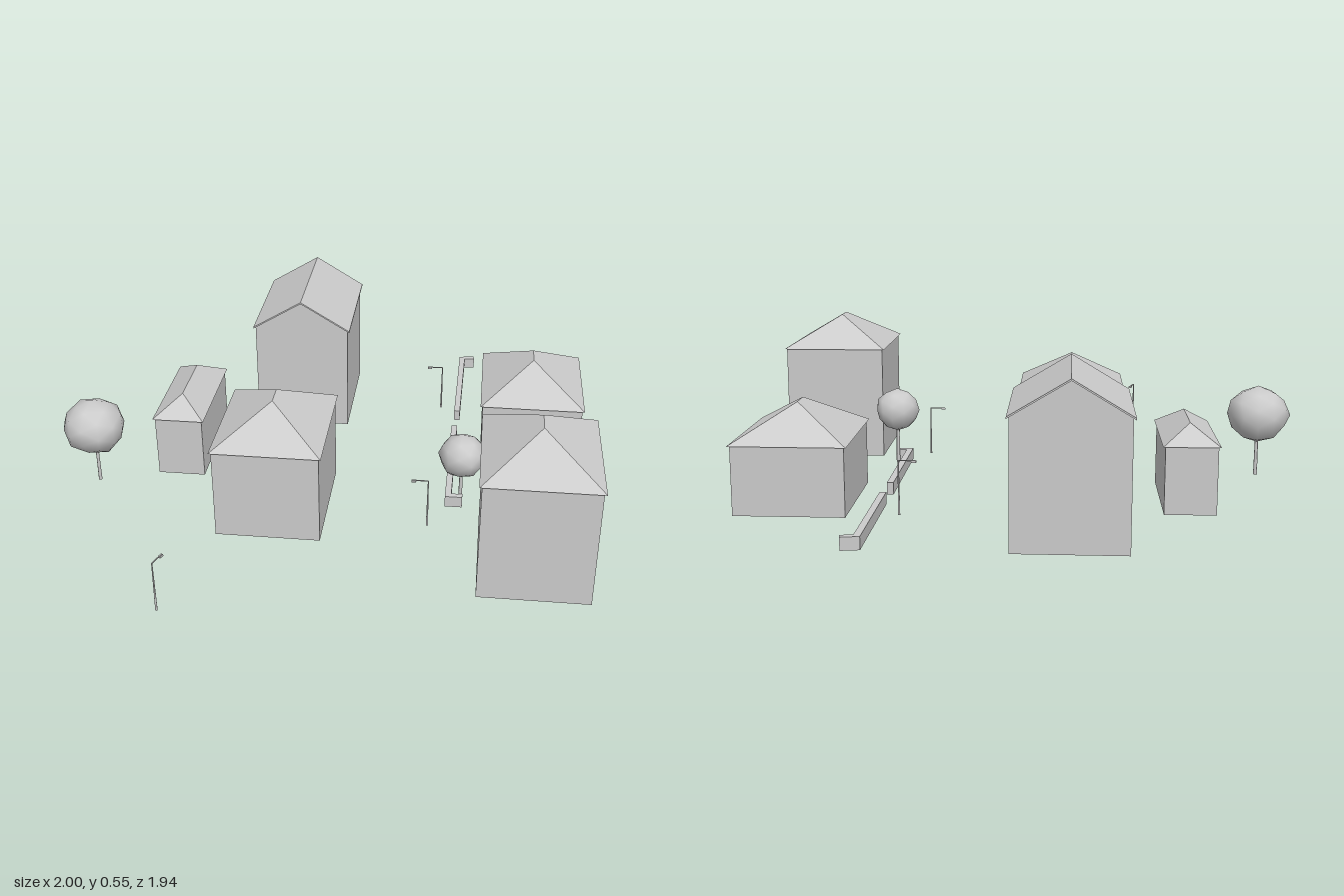
import * as THREE from 'three';
import { mergeVertices } from 'three/addons/utils/BufferGeometryUtils.js';

const TURN = -0.433; // the whole street is turned by this angle
const OVERHANG = 0.008;
const grey = new THREE.MeshStandardMaterial({ color: 0xcccccc });
const flat = new THREE.MeshStandardMaterial({ color: 0xcccccc, flatShading: true });

function part(name, geometry, material = flat) {
  const mesh = new THREE.Mesh(geometry, material);
  mesh.name = name;
  return mesh;
}

function box(name, w, h, d, x, y, z) {
  const mesh = part(name, new THREE.BoxGeometry(w, h, d));
  mesh.position.set(x, y, z);
  return mesh;
}

// Outline of [x, y] points extruded by depth along z
function extrude(points, depth) {
  const shape = new THREE.Shape(points.map(([x, y]) => new THREE.Vector2(x, y)));
  return new THREE.ExtrudeGeometry(shape, { depth, bevelEnabled: false });
}

// Closed hipped roof: four eave corners and the two ridge ends
function hipRoof(w, d, eave, top, ridge) {
  const points = [
    [-w / 2, eave, -d / 2], [w / 2, eave, -d / 2], [w / 2, eave, d / 2], [-w / 2, eave, d / 2],
    [0, top, -ridge / 2], [0, top, ridge / 2]];
  const faces = [[0, 1, 2, 3], [1, 0, 4], [2, 1, 4, 5], [3, 2, 5], [0, 3, 5, 4]];
  const positions = [];
  for (const f of faces) {
    for (let i = 1; i < f.length - 1; i++) {
      positions.push(...points[f[0]], ...points[f[i]], ...points[f[i + 1]]);
    }
  }
  const g = new THREE.BufferGeometry();
  g.setAttribute('position', new THREE.Float32BufferAttribute(positions, 3));
  g.computeVertexNormals();
  return g;
}

// Group for a house, turned along the street
function plot(name, x, z) {
  const house = new THREE.Group();
  house.name = name;
  house.position.set(x, 0, z);
  house.rotation.y = TURN;
  return house;
}

// House with a hipped roof; w and d are the eave sizes
function hipHouse(name, { x, z, w, d, base, eave, top, ridge }) {
  const house = plot(name, x, z);
  const h = eave - base;
  house.add(
    box('walls', w - 2 * OVERHANG, h, d - 2 * OVERHANG, 0, base + h / 2, 0),
    part('hipRoof', hipRoof(w, d, eave, top, ridge)));
  return house;
}

// House with a gabled roof: five-sided walls under a thin folded sheet
function gableHouse(name, { x, z, w, d, base, eave, top }) {
  const house = plot(name, x, z);
  const t = 0.006, a = w / 2, b = a - OVERHANG, dd = d - 2 * OVERHANG;
  const walls = extrude([[-b, base], [b, base], [b, eave], [0, top - t], [-b, eave]], dd);
  const roof = extrude([
    [-a, eave - t], [0, top - t], [a, eave - t], [a, eave], [0, top], [-a, eave]], d);
  house.add(
    part('walls', walls.translate(0, 0, -dd / 2)),
    part('gableRoof', roof.translate(0, 0, -d / 2)));
  return house;
}

// Faceted round crown on a slim trunk
function tree(name, x, z, base, crownY, r, ry) {
  const group = new THREE.Group();
  group.name = name;
  let ball = new THREE.IcosahedronGeometry(1, 1);
  ball.deleteAttribute('normal');
  ball.deleteAttribute('uv');
  ball = mergeVertices(ball, 1e-3);
  const p = ball.attributes.position;
  for (let i = 0; i < p.count; i++) { // slightly uneven crown
    const k = 1 + 0.04 * Math.sin(i * 2.4);
    p.setXYZ(i, p.getX(i) * r * k, p.getY(i) * ry * k, p.getZ(i) * r * k);
  }
  ball.computeVertexNormals();
  const crown = part('crown', ball, grey);
  crown.position.y = crownY;
  const h = crownY - base;
  const trunk = part('trunk', new THREE.CylinderGeometry(0.005, 0.007, h, 6), grey);
  trunk.position.y = base + h / 2;
  group.add(crown, trunk);
  group.position.set(x, 0, z);
  return group;
}

// Street lamp: pole, arm reaching out by (dx, dz), small head at its end
function lamp(name, x, z, dx, dz) {
  const group = new THREE.Group();
  group.name = name;
  const base = 0.03, top = 0.208, reach = Math.hypot(dx, dz);
  const pole = part('pole', new THREE.CylinderGeometry(0.002, 0.004, top - base, 6), grey);
  pole.position.y = (base + top) / 2;
  group.add(pole,
    box('arm', reach, 0.003, 0.003, reach / 2, top, 0),
    box('lampHead', 0.016, 0.006, 0.009, reach - 0.006, top - 0.003, 0));
  group.position.set(x, 0, z);
  group.rotation.y = Math.atan2(-dz, dx);
  return group;
}

// Low garden wall, mitred along a path of [x, z] points
function gardenWall(name, path) {
  const half = 0.011, pts = path.map(([x, z]) => new THREE.Vector2(x, -z));
  const last = pts.length - 1;
  const side = s => pts.map((p, i) => {
    const before = pts[Math.max(i, 1)].clone().sub(pts[Math.max(i, 1) - 1]).normalize();
    const next = Math.min(i, last - 1);
    const after = pts[next + 1].clone().sub(pts[next]).normalize();
    const n = new THREE.Vector2(-before.y - after.y, before.x + after.x).normalize();
    const cos = n.dot(new THREE.Vector2(-before.y, before.x));
    return p.clone().addScaledVector(n, s * half / cos).toArray();
  });
  const g = extrude([...side(1), ...side(-1).reverse()], 0.041);
  return part(name, g.rotateX(-Math.PI / 2).translate(0, 0.034, 0));
}

export function createModel() {
  const model = new THREE.Group();
  model.name = 'village';

  // Houses
  model.add(
    hipHouse('eastHouse', { x: 0.735, z: -0.082, w: 0.378, d: 0.45, base: 0.03, eave: 0.257, top: 0.368, ridge: 0.083 }),
    hipHouse('frontHouse', { x: 0.388, z: 0.68, w: 0.378, d: 0.457, base: 0.03, eave: 0.441, top: 0.553, ridge: 0.083 }),
    hipHouse('westHouse', { x: -0.307, z: 0.048, w: 0.377, d: 0.457, base: 0.006, eave: 0.33, top: 0.441, ridge: 0.083 }),
    hipHouse('shed', { x: -0.507, z: -0.451, w: 0.188, d: 0.432, base: 0, eave: 0.228, top: 0.29, ridge: 0.232 }),
    gableHouse('backHouse', { x: 0.036, z: -0.687, w: 0.372, d: 0.467, base: 0.008, eave: 0.418, top: 0.53 }));

  // Trees
  model.add(
    tree('largeTree', -0.89, -0.3, 0.012, 0.238, 0.112, 0.1),
    tree('smallTree', 0.29, 0.297, 0.03, 0.23, 0.081, 0.077));

  // Garden walls on both sides of the gate
  model.add(
    gardenWall('backGardenWall', [[0.76, -0.675], [0.712, -0.688], [0.51, -0.26]]),
    gardenWall('frontGardenWall', [[0.455, -0.155], [0.245, 0.295], [0.29, 0.316]]));

  // Street lamps
  model.add(
    lamp('westLamp', -0.834, 0.553, 0.037, -0.038),
    lamp('middleLamp', 0.132, 0.383, -0.05, -0.023),
    lamp('backLamp', 0.494, -0.386, -0.05, -0.023));

  return model;
}
